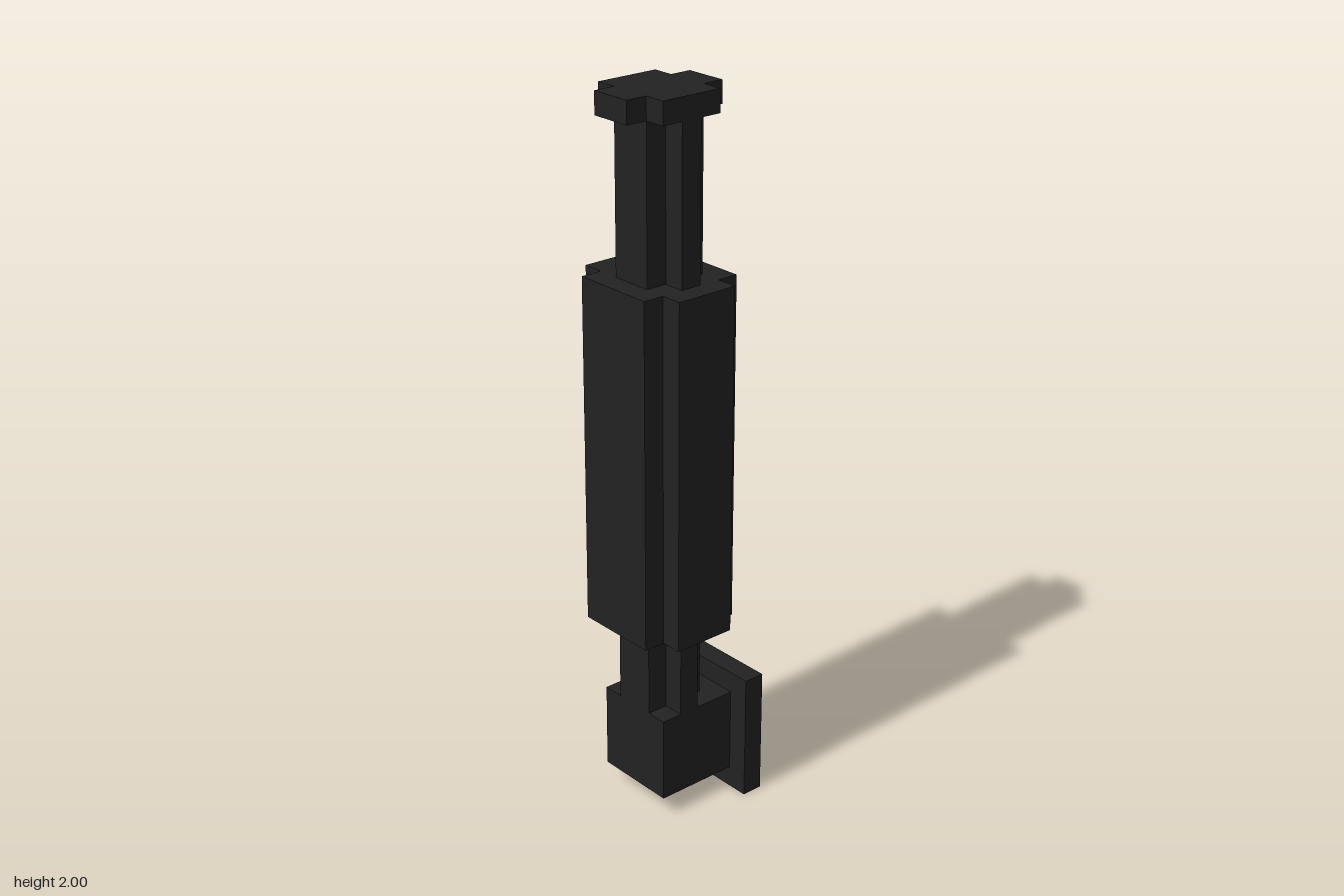
import * as THREE from 'three';

const U = 2 / 33; // grid unit of the design

export function createModel() {
  const group = new THREE.Group();
  const black = new THREE.MeshStandardMaterial({ color: 0x222222 });
  black.name = 'matte black';

  const add = (name, geometry) => {
    const mesh = new THREE.Mesh(geometry, black);
    mesh.name = name;
    group.add(mesh);
  };

  // Upright prism with a plus-shaped section: a = half width of x arm, c = half width of corner,
  // wz = half depth of x arm, az = half depth of z arm; y0..y1 = height range
  const cross = (name, a, c, az, wz, y0, y1) => {
    const shape = new THREE.Shape([
      [a, -wz], [a, wz], [c, wz], [c, az], [-c, az], [-c, wz],
      [-a, wz], [-a, -wz], [-c, -wz], [-c, -az], [c, -az], [c, -wz],
    ].map(([x, z]) => new THREE.Vector2(x * U, z * U)));
    const geometry = new THREE.ExtrudeGeometry(shape, { depth: (y1 - y0) * U, bevelEnabled: false });
    geometry.rotateX(-Math.PI / 2).translate(0, y0 * U, 0.5 * U);
    add(name, geometry);
  };

  const box = (name, halfW, y0, y1, z0, z1) => {
    const geometry = new THREE.BoxGeometry(2 * halfW * U, (y1 - y0) * U, (z1 - z0) * U);
    geometry.translate(0, (y0 + y1) / 2 * U, (z0 + z1) / 2 * U);
    add(name, geometry);
  };

  // Mount at the foot
  box('mountingPlate', 3, 0, 6, -3, -2);
  box('mountBlock', 2, 1, 5, -2, 2);

  // Column, from bottom to top
  cross('lowerShaft', 2, 1, 1.5, 0.5, 5, 9);
  cross('body', 3, 2, 2.5, 1.5, 9, 25);
  cross('upperShaft', 2, 1, 1.5, 0.5, 25, 32);
  cross('cap', 2, 1, 2.5, 1.5, 32, 33);

  return group;
}
